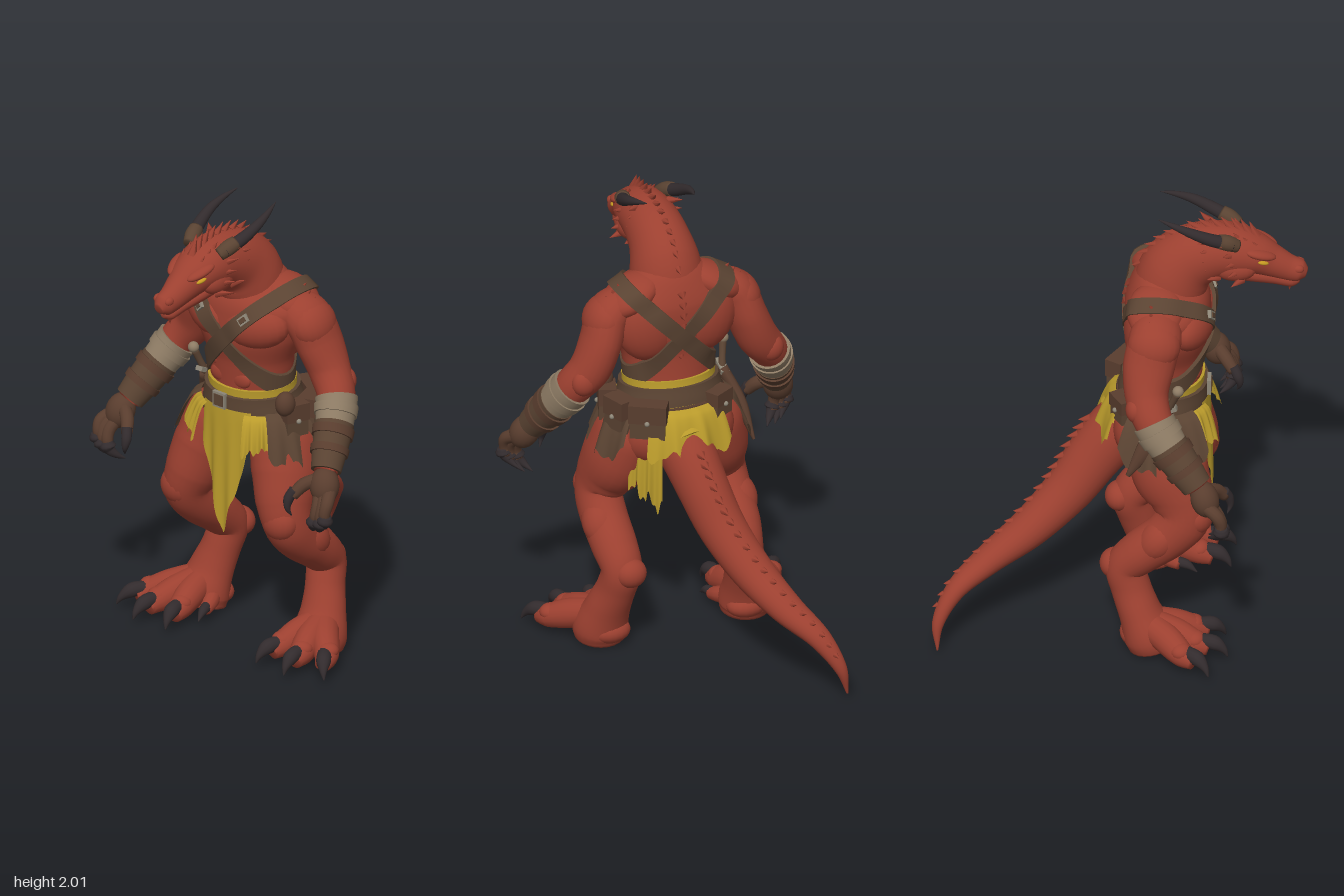
import * as THREE from 'three';
import { toCreasedNormals } from 'three/addons/utils/BufferGeometryUtils.js';

const TAU = Math.PI * 2, V = (x, y, z) => new THREE.Vector3(x, y, z);
const material = (name, color, side = THREE.FrontSide) => Object.assign(new THREE.MeshStandardMaterial({ color, side }), { name });

// Closed skin over n + 1 rings of seg points
function skin(ring, n, seg) {
  const pos = [], idx = [];
  for (let i = 0; i <= n; i++) for (let j = 0; j < seg; j++) pos.push(...ring(i, j).toArray());
  for (let i = 0; i < n; i++) for (let j = 0; j < seg; j++) {
    const a = i * seg + j, b = i * seg + (j + 1) % seg;
    idx.push(a, b, a + seg, b, b + seg, a + seg);
  }
  for (let j = 1; j < seg - 1; j++) idx.push(0, j + 1, j, n * seg, n * seg + j, n * seg + j + 1);
  const g = new THREE.BufferGeometry();
  g.setAttribute('position', new THREE.Float32BufferAttribute(pos, 3));
  g.setIndex(idx);
  g.computeVertexNormals();
  return g;
}

// Elliptical tube surface through rows of [x, y, z, side radius, depth radius]
function surface(rows) {
  const path = new THREE.CatmullRomCurve3(rows.map(r => V(r[0], r[1], r[2])));
  const radii = new THREE.CatmullRomCurve3(rows.map(r => V(r[3], r[4] ?? r[3], 0)));
  return (u, angle, grow = 0) => {
    const t = path.getTangent(u), k = radii.getPoint(u);
    const side = V(1, 0, 0).addScaledVector(t, -t.x).normalize(), depth = t.clone().cross(side);
    return path.getPoint(u).addScaledVector(side, Math.cos(angle) * (Math.max(k.x, 0.002) + grow))
      .addScaledVector(depth, Math.sin(angle) * (Math.max(k.y, 0.002) + grow));
  };
}
const loft = (rows, seg = 20, steps = 6) => {
  const s = surface(rows), n = (rows.length - 1) * steps;
  return skin((i, j) => s(i / n, j / seg * TAU), n, seg);
};
// Raised band around part of a tube surface
const sleeve = (rows, u0, u1, grow, steps = 8, seg = 28) => {
  const s = surface(rows);
  return toCreasedNormals(skin((i, j) => {
    const k = THREE.MathUtils.clamp((i - 1) / steps, 0, 1);
    return s(u0 + (u1 - u0) * k, j / seg * TAU, i === 0 || i === steps + 2 ? -0.01 : grow);
  }, steps + 2, seg), 0.8);
};
const mirror = (rows, s) => rows.map(([x, ...r]) => [x * s, ...r]);

export function createModel() {
  const model = new THREE.Group();
  const red = material('red hide', 0x9c4030), yellow = material('yellow cloth', 0xb99a2b, THREE.DoubleSide);
  const leather = material('brown leather', 0x5a4332, THREE.DoubleSide), glove = material('glove leather', 0x593d2e);
  const wrap = material('pale wrapping', 0x8d7b64), dark = material('dark horn', 0x322b2d);
  const metal = material('dull metal', 0x8c8576), eye = material('amber eye', 0xc69a22);

  const add = (name, geo, mat, p = [0, 0, 0], rot = [0, 0, 0], scale = [1, 1, 1]) => {
    const m = new THREE.Mesh(geo, mat);
    m.name = name;
    m.position.set(...p); m.rotation.set(...rot); m.scale.set(...scale);
    model.add(m);
    return m;
  };
  const blob = (name, mat, p, r, rot) => add(name, new THREE.SphereGeometry(1, 20, 14), mat, p, rot, r);
  const box = (name, mat, p, size, rot) => add(name, new THREE.BoxGeometry(...size), mat, p, rot);
  const spike = (name, p, dir, len, rad) => {
    const m = add(name, new THREE.ConeGeometry(rad, len, 6), red);
    m.quaternion.setFromUnitVectors(V(0, 1, 0), dir.normalize());
    m.position.copy(p).addScaledVector(dir, len * 0.3);
  };

  // Torso and its muscles, which the straps rest on
  const torsoRows = [[0, .86, .16, .13, .1], [0, .99, .165, .22, .16], [0, 1.08, .175, .205, .165], [0, 1.17, .185, .19, .155],
    [0, 1.3, .195, .205, .155], [0, 1.42, .2, .255, .18], [0, 1.54, .195, .28, .18], [0, 1.64, .2, .19, .145], [0, 1.7, .22, .1, .08]];
  const body = [add('torso', loft(torsoRows, 36), red)];
  for (const s of [1, -1]) {
    body.push(blob('chestMuscle', red, [s * .125, 1.48, .3], [.15, .1, .085], [0, s * .3, s * .15]));
    body.push(blob('shoulderMuscle', red, [s * .19, 1.59, .15], [.14, .07, .12], [0, 0, s * -.5]));
    body.push(blob('backMuscle', red, [s * .13, 1.46, .105], [.14, .17, .09], [0, 0, s * -.2]));
    blob('buttock', red, [s * .12, .95, .08], [.13, .13, .11]);
    for (let i = 0; i < 3; i++) blob('bellyMuscle', red, [s * .052, 1.22 + i * .065, .322], [.058, .04, .02]);
  }

  // Neck, head and jaw
  const headRows = [[0, 1.57, .19, .165, .15], [0, 1.68, .23, .148, .155], [0, 1.745, .29, .13, .142], [0, 1.785, .385, .12, .127],
    [0, 1.79, .48, .113, .112], [0, 1.772, .56, .097, .09], [0, 1.738, .63, .072, .072], [0, 1.705, .7, .054, .058],
    [0, 1.69, .75, .046, .05], [0, 1.68, .778, .022, .022]];
  add('neckAndHead', loft(headRows, 28), red);
  add('lowerJaw', loft([[0, 1.72, .45, .085, .06], [0, 1.69, .56, .07, .045], [0, 1.665, .65, .048, .036], [0, 1.645, .72, .036, .03], [0, 1.645, .75, .014, .012]]), red);
  spike('chinSpike', V(0, 1.63, .71), V(0, -1, -.1), .05, .018);
  for (const s of [1, -1]) {
    blob('brow', red, [s * .068, 1.808, .59], [.03, .02, .07], [.35, s * -.3, 0]);
    blob('eye', eye, [s * .082, 1.777, .6], [.011, .009, .025], [.3, s * -.3, 0]);
    blob('nostril', red, [s * .03, 1.715, .745], [.018, .02, .025]);
    blob('cheek', red, [s * .068, 1.735, .48], [.045, .055, .09]);
    add('hornSocket', loft(mirror([[.083, 1.86, .49, .028], [.1, 1.885, .45, .034], [.112, 1.9, .415, .031]], s), 14), leather);
    add('horn', loft(mirror([[.095, 1.875, .47, .03], [.122, 1.913, .38, .027], [.132, 1.95, .3, .021], [.125, 1.977, .23, .013], [.108, 2.0, .16, .002]], s), 14), dark);
    for (let i = 0; i < 5; i++) {
      spike('cheekSpike', V(s * .095, 1.69 + i * .043, .5 - i * .012), V(s, .1 + i * .12, -.6), .085, .02);
      spike('crestSpike', V(s * .085, 1.7 + i * .045, .4 - i * .01), V(s, .3, -.9), .07, .02);
      spike('shoulderSpike', V(s * (.235 + i * .026), 1.63 - i * .024, .14), V(s * .6, 1, -.3), .05, .018);
    }
    for (let i = 0; i < 3; i++) spike('browSpike', V(s * .05, 1.84 + i * .02, .57 - i * .04), V(s * .3, 1, -.6), .045, .014);
  }

  // Tail with a row of spines that continues from neck and back
  const tailRows = [[.01, .96, .08, .13, .13], [-.01, .87, -.02, .12, .13], [-.035, .76, -.11, .11, .12], [-.08, .61, -.22, .102, .105],
    [-.155, .46, -.38, .09, .085], [-.24, .35, -.55, .072, .062], [-.335, .255, -.685, .05, .043], [-.402, .13, -.755, .027, .026], [-.43, .012, -.757, .004, .004]];
  add('tail', loft(tailRows, 24, 7), red);
  const spines = (rows, u0, u1, angle, count, len) => {
    const s = surface(rows);
    for (let i = 0; i < count; i++) {
      const u = u0 + (u1 - u0) * i / (count - 1), p = s(u, angle);
      const out = p.clone().sub(s(u, angle + Math.PI)).normalize();
      const back = s(u + .01 * Math.sign(u1 - u0), angle).sub(p).normalize();
      spike('spine', p, out.addScaledVector(back, .9), len * (1 - .5 * i / count), .022 * (1 - .4 * i / count));
    }
  };
  spines(headRows, .52, .08, Math.PI / 2, 13, .08);
  spines(tailRows, .16, .82, Math.PI * 1.5, 19, .05);
  spines(torsoRows, .82, .5, Math.PI / 2, 8, .03);

  for (const s of [1, -1]) {
    // Arm with wraps, bracer and gloved hand
    const arm = mirror([[.21, 1.57, .17, .07, .09], [.285, 1.515, .155, .09, .112], [.328, 1.41, .13, .088, .11], [.378, 1.295, .122, .088, .093],
      [.44, 1.21, .15, .08, .083], [.485, 1.12, .21, .07, .074], [.527, 1.02, .29, .06, .062], [.555, .95, .345, .05, .05]], s);
    const limb = (name, rows, mat, seg = 12) => add(name, loft(mirror(rows, s), seg, 5), mat);
    add('arm', loft(arm), red);
    blob('upperArmMuscle', red, [s * .31, 1.5, .15], [.083, .105, .112], [0, 0, s * .4]);
    blob('elbow', red, [s * .425, 1.25, .08], [.055, .06, .045]);
    for (let i = 0; i < 3; i++) add('armWrap', sleeve(arm, .59 + i * .045, .64 + i * .045, .011 + (i % 2) * .007, 3), wrap);
    add('bracer', sleeve(arm, .73, .99, .014), leather);
    for (const u of [.75, .84]) add('bracerStrap', sleeve(arm, u, u + .04, .022, 2), glove);
    blob('palm', glove, [s * .575, .905, .375], [.065, .08, .06], [-.3, 0, s * .25]);
    [[.58, .545, -.012], [.607, .58, -.008], [.63, .605, .012]].forEach(([x, tip, dy]) => {
      limb('finger', [[x - .02, .89, .38, .03], [x + .008, .845 + dy, .43, .028], [x + .006, .795 + dy, .445, .025], [tip + .035, .76 + dy, .43, .018]], glove);
      limb('fingerClaw', [[tip + .04, .795 + dy, .447, .025], [tip + .032, .762 + dy, .445, .025], [tip + .012, .735 + dy, .425, .016], [tip - .012, .712 + dy, .39, .002]], dark);
    });
    limb('thumb', [[.55, .93, .38, .03], [.497, .9, .42, .029], [.468, .855, .455, .024]], glove);
    limb('thumbClaw', [[.472, .88, .45, .023], [.457, .84, .47, .022], [.458, .8, .478, .013], [.47, .765, .465, .002]], dark);

    // Leg with backward hock
    limb('leg', [[.13, 1.03, .15, .1, .13], [.18, .93, .18, .145, .165], [.22, .81, .215, .142, .165], [.255, .7, .265, .12, .135],
      [.28, .62, .275, .1, .115], [.283, .53, .21, .1, .105], [.28, .44, .1, .098, .095], [.275, .36, .03, .088, .085],
      [.29, .27, .05, .085, .085], [.315, .16, .09, .1, .09], [.33, .06, .13, .12, .11], [.33, .012, .14, .11, .1]], red, 24);
    blob('kneecap', red, [s * .285, .635, .33], [.085, .085, .07]);
    blob('calfMuscle', red, [s * .305, .52, .17], [.088, .11, .08], [.7, 0, 0]);
    blob('hock', red, [s * .255, .36, -.02], [.07, .065, .062]);
    blob('heel', red, [s * .31, .055, .075], [.09, .055, .07]);
    [[.5, .29, .585, .39], [.405, .345, .425, .465], [.285, .335, .255, .45]].forEach(([x, z, cx, cz]) => {
      limb('toe', [[.33, .13, .1, .06], [.33 + (x - .33) * .55, .095, .1 + (z - .1) * .55, .062, .065], [x, .062, z - .01, .052, .052], [x + (cx - x) * .3, .045, z + .04, .035, .035]], red, 16);
      limb('toeClaw', [[x, .078, z, .031], [x + (cx - x) * .45, .074, z + (cz - z) * .5, .032], [x + (cx - x) * .8, .045, z + (cz - z) * .85, .017], [cx, .012, cz, .003]], dark);
      blob('toeKnuckle', red, [s * x, .085, z - .02], [.048, .036, .045]);
    });
    limb('innerToe', [[.28, .08, .12, .045], [.235, .06, .19, .036], [.215, .045, .24, .026]], red);
    limb('innerToeClaw', [[.222, .055, .22, .024], [.208, .05, .265, .02], [.195, .02, .31, .002]], dark);
  }

  // Crossed straps: loops in tilted planes, laid onto the torso
  model.updateMatrixWorld(true);
  const caster = new THREE.Raycaster(), n = 72;
  const hit = (from, dir) => {
    caster.set(from, dir);
    return caster.intersectObjects(body, false)[0].point;
  };
  for (const s of [1, -1]) {
    const along = V(s * .69, .72, 0).normalize(), across = V(s * .72, -.69, 0).normalize();
    const dir = i => along.clone().multiplyScalar(Math.cos(i / n * TAU)).add(V(0, 0, Math.sin(i / n * TAU)));
    const edges = [-.036, .036].map(w => {
      const c = V(0, 1.405, .19).addScaledVector(across, w);
      const r = Array.from({ length: n }, (_, i) => hit(c.clone().add(dir(i)), dir(i).negate()).distanceTo(c));
      return (i, grow) => {
        const k = i % n, q = Math.max(r[k], (r[(k + n - 1) % n] + r[k] + r[(k + 1) % n]) / 3);
        return c.clone().addScaledVector(dir(k), q + grow);
      };
    });
    const grow = s > 0 ? .016 : .011, order = [[0, -.02], [0, grow], [1, grow], [1, -.02]];
    add('chestStrap', toCreasedNormals(skin((i, j) => {
      const [k, g] = order[s > 0 ? 3 - j : j];
      return edges[k](i, g);
    }, n, 4), .7), leather);
    const p = hit(V(s * .125, 1.535, 1), V(0, 0, -1));
    box('strapBuckle', metal, [p.x, p.y, p.z + .012], [.05, .035, .016], [-.25, s * .2, s * .8]);
    box('strapBuckleCentre', leather, [p.x, p.y, p.z + .018], [.032, .02, .014], [-.25, s * .2, s * .8]);
  }

  // Waist cloth, belts and buckle
  const u = i => i / (torsoRows.length - 1);
  add('waistCloth', sleeve(torsoRows, u(1.1), u(3.18), .012), yellow);
  add('belt', sleeve(torsoRows, u(2.0), u(2.9), .028), leather);
  add('lowerBelt', sleeve(torsoRows, u(1.6), u(1.9), .032), glove);
  box('beltBuckle', metal, [-.02, 1.12, .37], [.07, .07, .016]);
  box('beltBuckleCentre', leather, [-.02, 1.12, .376], [.05, .05, .012]);

  // Hanging cloth: angle around the hips, length set by a rule
  const cloth = (name, mat, a0, a1, top, length, flare) => {
    const g = new THREE.PlaneGeometry(1, 1, 36, 12), p = g.attributes.position;
    for (let i = 0; i < p.count; i++) {
      const k = p.getX(i) + .5, t = .5 - p.getY(i), a = a0 + (a1 - a0) * k;
      const r = flare * Math.sqrt(t) + .008 * Math.sin(k * 22) * t;
      p.setXYZ(i, Math.sin(a) * (.238 + r), top - t * length(k), .175 + Math.cos(a) * (.198 + r));
    }
    g.computeVertexNormals();
    add(name, g, mat);
  };
  const ragged = k => .02 * Math.sin(k * 17) + .012 * Math.sin(k * 37);
  cloth('frontCloth', yellow, -.55, .58, 1.09, k => .57 - 1.0 * Math.abs(k - .5) ** 1.15 + ragged(k) * .6, .008);
  cloth('backCloth', yellow, 2.5, 3.78, 1.09, k => .18 + ragged(k), .085);
  add('tailCloth', sleeve(tailRows, .01, .085, .016), yellow);
  cloth('sideRag', yellow, 2.1, 2.7, 1.06, k => .3 + .12 * k + ragged(k) * 1.5, .035);
  for (const s of [1, -1]) {
    cloth('hipCloth', yellow, s * .45, s * .95, 1.08, k => .16 - .04 * k + ragged(k) * .6, .065);
    cloth('hipFlap', leather, s * .85, s * 2.2, 1.09, k => .15 + .08 * Math.sin(k * 3) + ragged(k), .11);
  }

  // Pouches, dagger and flask on the belt
  const pouch = (p, size, turn) => {
    box('pouch', leather, p, size, [0, turn, 0]);
    box('pouchFlap', glove, [p[0], p[1] + size[1] * .25, p[2]], [size[0] * 1.08, size[1] * .55, size[2] * 1.12], [0, turn, 0]);
    blob('pouchStud', metal, [p[0] + Math.sin(turn) * size[2] * .58, p[1], p[2] + Math.cos(turn) * size[2] * .58], [.011, .011, .011]);
  };
  pouch([.265, 1.07, .22], [.1, .14, .07], 1.25);
  pouch([.255, 1.06, .1], [.11, .15, .075], 1.9);
  pouch([.165, 1.06, .0], [.15, .15, .07], 2.6);
  pouch([-.16, 1.08, .01], [.1, .11, .06], -2.6);
  blob('flask', glove, [.26, 1.15, .27], [.042, .055, .045]);
  add('daggerSheath', loft([[-.25, 1.13, .2, .024, .035], [-.3, 1.0, .13, .026, .042], [-.33, .85, .04, .006, .01]], 10), glove);
  add('daggerHilt', loft([[-.25, 1.12, .2, .018], [-.262, 1.18, .225, .015], [-.272, 1.23, .245, .017]], 10), leather);
  box('daggerGuard', metal, [-.252, 1.135, .205], [.035, .02, .08], [-.4, 0, 0]);
  blob('daggerPommel', wrap, [-.275, 1.245, .25], [.024, .024, .024]);

  return model;
}
